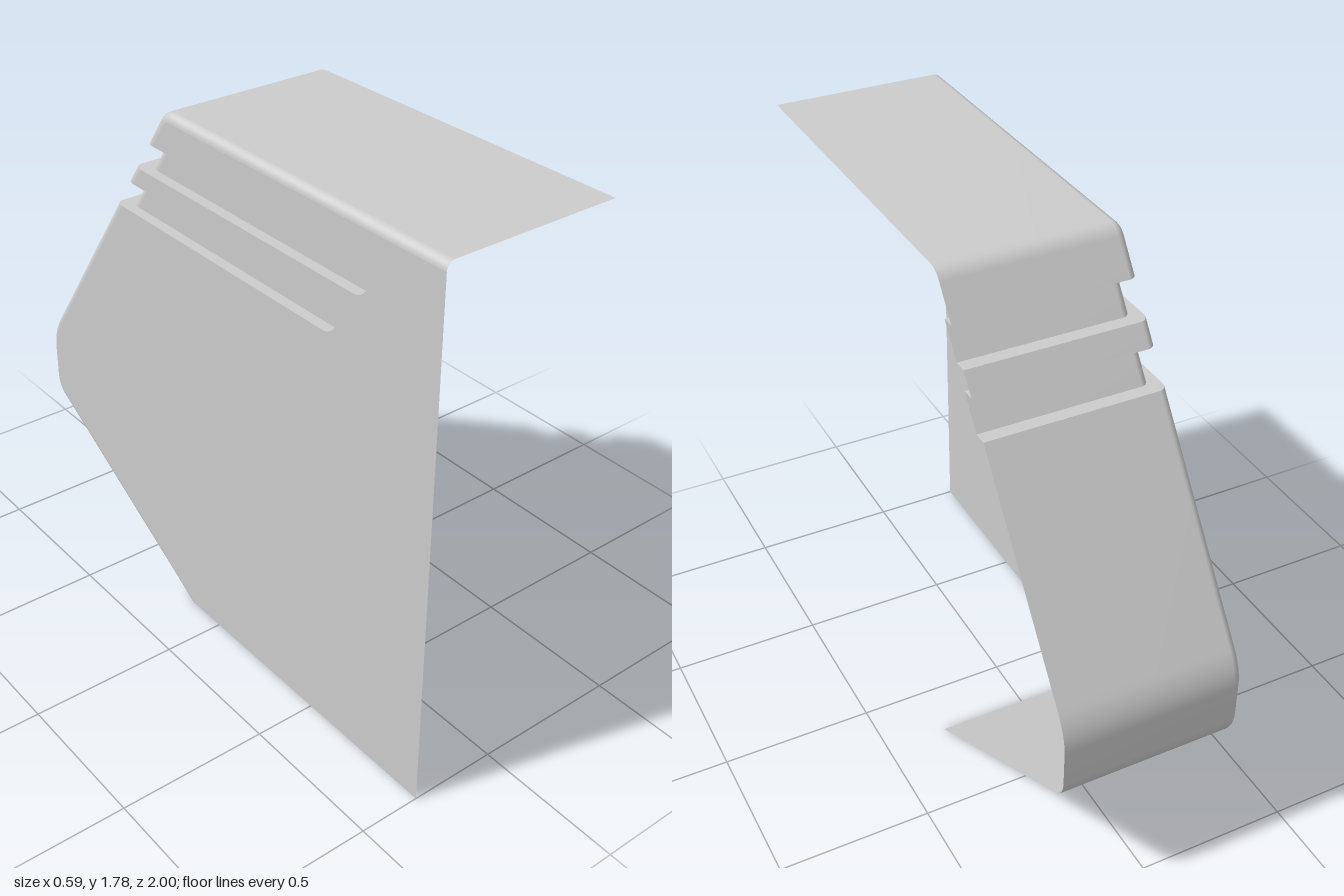
import * as THREE from 'three';

const W = 0.295, R = 0.028, DEPTH = 0.035;
const mat = new THREE.MeshStandardMaterial({ color: 0xcccccc, side: THREE.DoubleSide });

// Grooves: top and bottom height, and z of the front end at the top
const grooves = [
  { top: 1.655, bottom: 1.555, z: 0.755 },
  { top: 1.49, bottom: 1.39, z: 0.63 },
];
const cuts = grooves.flatMap(g => [g.top, g.bottom]);

// Slanted front end of a groove with a rounded lower corner, top to bottom, as (z, y)
function grooveEnd({ top, bottom, z }) {
  const v = (dz, y) => new THREE.Vector2(z - dz, y);
  const curve = new THREE.QuadraticBezierCurve(v(0.05, bottom + 0.025), v(0.068, bottom), v(0.1, bottom));
  return [v(0, top), v(0.005, top - 0.015), ...curve.getPoints(6)];
}

// Rim profile as (z, y): front top edge, over the back, down to the floor
function makeProfile() {
  const v = (z, y) => new THREE.Vector2(z, y);
  const bend = (a, b, c) => new THREE.QuadraticBezierCurve(a, b, c).getPoints(8);
  const slopeA = v(-0.24, 1.755), slopeB = v(-0.95, 0.775);
  const cutPoints = cuts.map(y => {
    const p = slopeA.clone().lerp(slopeB, (slopeA.y - y) / (slopeA.y - slopeB.y));
    p.level = true;
    return p;
  });
  const end = v(-0.19, 0);
  end.level = true;
  const pts = [
    v(1, 1.785),
    ...bend(v(-0.185, 1.785), v(-0.218, 1.785), slopeA),
    ...cutPoints,
    ...bend(slopeB, v(-1, 0.71), v(-1, 0.64)),
    ...bend(v(-1, 0.53), v(-1, 0.471), v(-0.955, 0.445)),
    end,
  ];
  // Inward mitre for each point; level points move in z only
  pts.forEach((p, i) => {
    const normal = (a, b) => {
      const d = b.clone().sub(a).normalize();
      return v(-d.y, d.x);
    };
    const n0 = normal(pts[Math.max(i - 1, 0)], pts[Math.max(i, 1)]);
    const n1 = i < pts.length - 1 ? normal(p, pts[i + 1]) : n0;
    const m = n0.clone().add(n1).normalize();
    p.inward = p.level ? v(1 / n0.x, 0) : m.divideScalar(m.dot(n0));
  });
  return pts;
}

const inset = (p, d) => p.clone().addScaledVector(p.inward, d);

// Cross-section of a sheet as [x, inset]: open edge, flat, fillet into the side wall
function section(depth) {
  const rows = [[W, depth]];
  for (let i = 0; i <= 6; i++) {
    const a = (i / 6) * Math.PI / 2;
    rows.push([-W + depth + R * (1 - Math.sin(a)), depth + R * (1 - Math.cos(a))]);
  }
  return rows;
}

// Smooth surface through rows of Vector3
function gridMesh(name, rows) {
  const n = rows[0].length, index = [];
  for (let i = 0; i < rows.length - 1; i++) {
    for (let j = 0; j < n - 1; j++) {
      const a = i * n + j, b = a + n;
      index.push(a, a + 1, b, a + 1, b + 1, b);
    }
  }
  const geo = new THREE.BufferGeometry().setFromPoints(rows.flat());
  geo.setIndex(index);
  geo.computeVertexNormals();
  const mesh = new THREE.Mesh(geo, mat);
  mesh.name = name;
  return mesh;
}

// Flat plate facing -x, outlined in (z, y)
function plate(name, outline, x) {
  const geo = new THREE.ShapeGeometry(new THREE.Shape(outline));
  geo.rotateY(-Math.PI / 2);
  geo.translate(x, 0, 0);
  const mesh = new THREE.Mesh(geo, mat);
  mesh.name = name;
  return mesh;
}

export function createModel() {
  const group = new THREE.Group();
  group.name = 'sideCover';
  const profile = makeProfile();
  const cutAt = cuts.map(y => profile.findIndex(p => p.level && p.y === y || p.level && Math.abs(p.y - y) < 1e-6));

  const rim = (name, from, to, depth) => group.add(gridMesh(name, section(depth).map(([x, d]) =>
    profile.slice(from, to + 1).map(p => {
      const q = inset(p, d);
      return new THREE.Vector3(x, q.y, q.x);
    }))));

  // Outer rim in three pieces, with recessed strips between them
  rim('upperRim', 0, cutAt[0], 0);
  rim('middleRim', cutAt[1], cutAt[2], 0);
  rim('lowerRim', cutAt[3], profile.length - 1, 0);

  // Side wall, notched where the grooves run
  const outline = profile.slice(0, cutAt[0] + 1).map(p => inset(p, R));
  grooves.forEach((g, i) => {
    outline.push(...grooveEnd(g));
    const next = i === 0 ? cutAt[2] : profile.length - 1;
    outline.push(...profile.slice(cutAt[2 * i + 1], next + 1).map(p => inset(p, R)));
  });
  outline.push(new THREE.Vector2(1, 0));
  group.add(plate('sideWall', outline, -W));

  grooves.forEach((g, i) => {
    const a = cutAt[2 * i], b = cutAt[2 * i + 1];
    const end = grooveEnd(g);
    rim('grooveBack', a, b, DEPTH);

    // Groove floor on the side
    const back = [profile[b], profile[a]].map(p => inset(p, DEPTH + R));
    group.add(plate('grooveFloor', [...end, ...back], -W + DEPTH));

    // Slanted front end of the groove
    group.add(gridMesh('grooveEnd', [-W, -W + DEPTH].map(x =>
      end.map(p => new THREE.Vector3(x, p.y, p.x)))));

    // Ledges above and below the groove, wrapping side to back
    [[a, end[0]], [b, end[end.length - 1]]].forEach(([k, front]) => {
      group.add(gridMesh('grooveLedge', [0, DEPTH].map(depth => [
        ...section(depth).map(([x, d]) => new THREE.Vector3(x, profile[k].y, inset(profile[k], d).x)),
        new THREE.Vector3(-W + depth, front.y, front.x),
      ])));
    });
  });
  return group;
}
